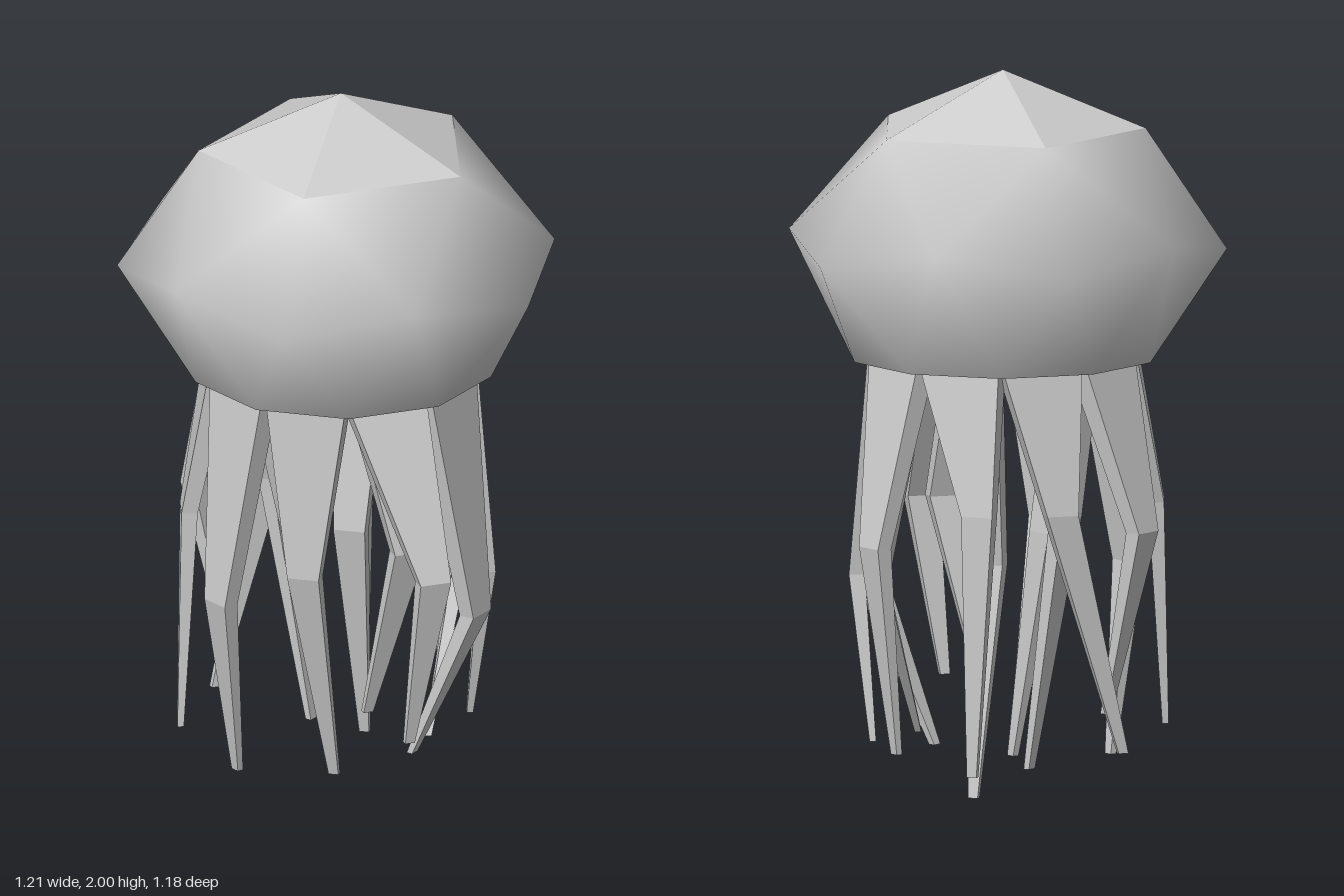
import * as THREE from 'three';

const CX = -0.015; // the bell's axis
const rad = (deg) => deg * Math.PI / 180;
const polar = (deg, r, y) => [CX + r * Math.cos(rad(deg)), y, r * Math.sin(rad(deg))];
const material = new THREE.MeshStandardMaterial({ color: 0xcccccc });
const flat = new THREE.MeshStandardMaterial({ color: 0xcccccc, flatShading: true });

function build(points, index, mat, name) {
  let geo = new THREE.BufferGeometry();
  geo.setAttribute('position', new THREE.Float32BufferAttribute(points.flat(), 3));
  geo.setIndex(index);
  if (mat === flat) geo = geo.toNonIndexed();
  geo.computeVertexNormals();
  const mesh = new THREE.Mesh(geo, mat);
  mesh.name = name;
  return mesh;
}

// Ring of five points under the crown
const crownRing = () => Array.from({ length: 5 }, (_, i) => polar(72 * i, 0.395, 1.837));

// Faceted five-sided crown
function createCrown() {
  const index = [];
  for (let i = 0; i < 5; i++) index.push(5, (i + 1) % 5, i);
  return build([...crownRing(), [CX, 2, 0]], index, flat, 'crown');
}

// Smooth bell: crown ring (0-4), widest ring (5-14), rim (15-24)
function createBell() {
  const points = crownRing();
  for (let k = 0; k < 10; k++) points.push(k % 2 ? polar(36 * k, 0.592, 1.555) : polar(36 * k, 0.62, 1.5));
  for (let k = 0; k < 10; k++) points.push(polar(36 * k + 18, 0.43, 1.2));
  const mid = (k) => 5 + (k + 10) % 10;
  const rim = (k) => 15 + (k + 10) % 10;
  const index = [];
  for (let i = 0; i < 5; i++) {
    const k = 2 * i;
    index.push(i, mid(k), mid(k - 1), i, mid(k + 1), mid(k), i, (i + 1) % 5, mid(k + 1));
  }
  for (let k = 0; k < 10; k++) {
    index.push(mid(k), rim(k), rim(k - 1), mid(k), mid(k + 1), rim(k));
  }
  return build(points, index, material, 'bell');
}

// Flat underside of the bell
function createUnderside() {
  const geo = new THREE.CircleGeometry(0.43, 10, Math.PI / 10);
  geo.rotateX(Math.PI / 2);
  const mesh = new THREE.Mesh(geo, material);
  mesh.name = 'underside';
  mesh.position.set(CX, 1.2, 0);
  return mesh;
}

// Four-sided tapering tentacle bent once at the knee
function createTentacle(deg, radius, topWidth, knee, tip, name) {
  const c = Math.cos(rad(deg)), s = Math.sin(rad(deg));
  const sections = [
    [polar(deg, radius, 1.2), topWidth, 0.06],
    [knee, 0.09, 0.045],
    [tip, 0.028, 0.018],
  ];
  const points = [], index = [];
  for (const [[x, y, z], w, d] of sections) {
    for (const [t, o] of [[-1, 1], [1, 1], [1, -1], [-1, -1]]) {
      points.push([x + (o * d * c - t * w * s) / 2, y, z + (o * d * s + t * w * c) / 2]);
    }
  }
  for (let row = 0; row < 8; row += 4) {
    for (let j = 0; j < 4; j++) {
      const a = row + j, b = row + (j + 1) % 4;
      index.push(a, b, b + 4, a, b + 4, a + 4);
    }
  }
  index.push(8, 9, 10, 8, 10, 11);
  return build(points, index, flat, name);
}

export function createModel() {
  const group = new THREE.Group();
  group.name = 'jellyfish';
  group.add(createCrown(), createBell(), createUnderside());

  // Outer tentacles, knee and tip, every 36 degrees
  const outer = [
    [[0.40, 0.53, -0.045], [0.22, 0.09, 0]],
    [[0.46, 0.735, 0.26], [0.38, 0.24, 0.26]],
    [[0.095, 0.70, 0.35], [0.10, 0.07, 0.21]],
    [[-0.15, 0.59, 0.40], [-0.155, 0.06, 0.31]],
    [[-0.335, 0.79, 0.28], [-0.33, 0.16, 0.33]],
    [[-0.495, 0.75, 0], [-0.37, 0.23, 0]],
    [[-0.37, 0.81, -0.21], [-0.45, 0.13, -0.03]],
    [[-0.20, 0.81, -0.36], [-0.185, 0.08, -0.37]],
    [[0.08, 0.71, -0.465], [0.04, 0.13, -0.42]],
    [[0.32, 0.59, -0.225], [0.24, 0.13, -0.26]],
  ];
  outer.forEach(([knee, tip], i) =>
    group.add(createTentacle(36 * i, 0.345, 0.225, knee, tip, 'outerTentacle' + (i + 1))));

  // Inner tentacles, every 72 degrees
  const inner = [
    [[0.31, 0.76, 0.16], [0.17, 0.25, 0.15]],
    [[-0.05, 0.69, 0.15], [0.04, 0.06, 0.12]],
    [[-0.29, 0.78, -0.08], [-0.18, 0.07, -0.10]],
    [[-0.08, 0.64, -0.15], [-0.10, 0, -0.25]],
    [[0.185, 0.635, -0.32], [0.24, 0.13, -0.05]],
  ];
  inner.forEach(([knee, tip], i) =>
    group.add(createTentacle(36 + 72 * i, 0.25, 0.15, knee, tip, 'innerTentacle' + (i + 1))));

  return group;
}
